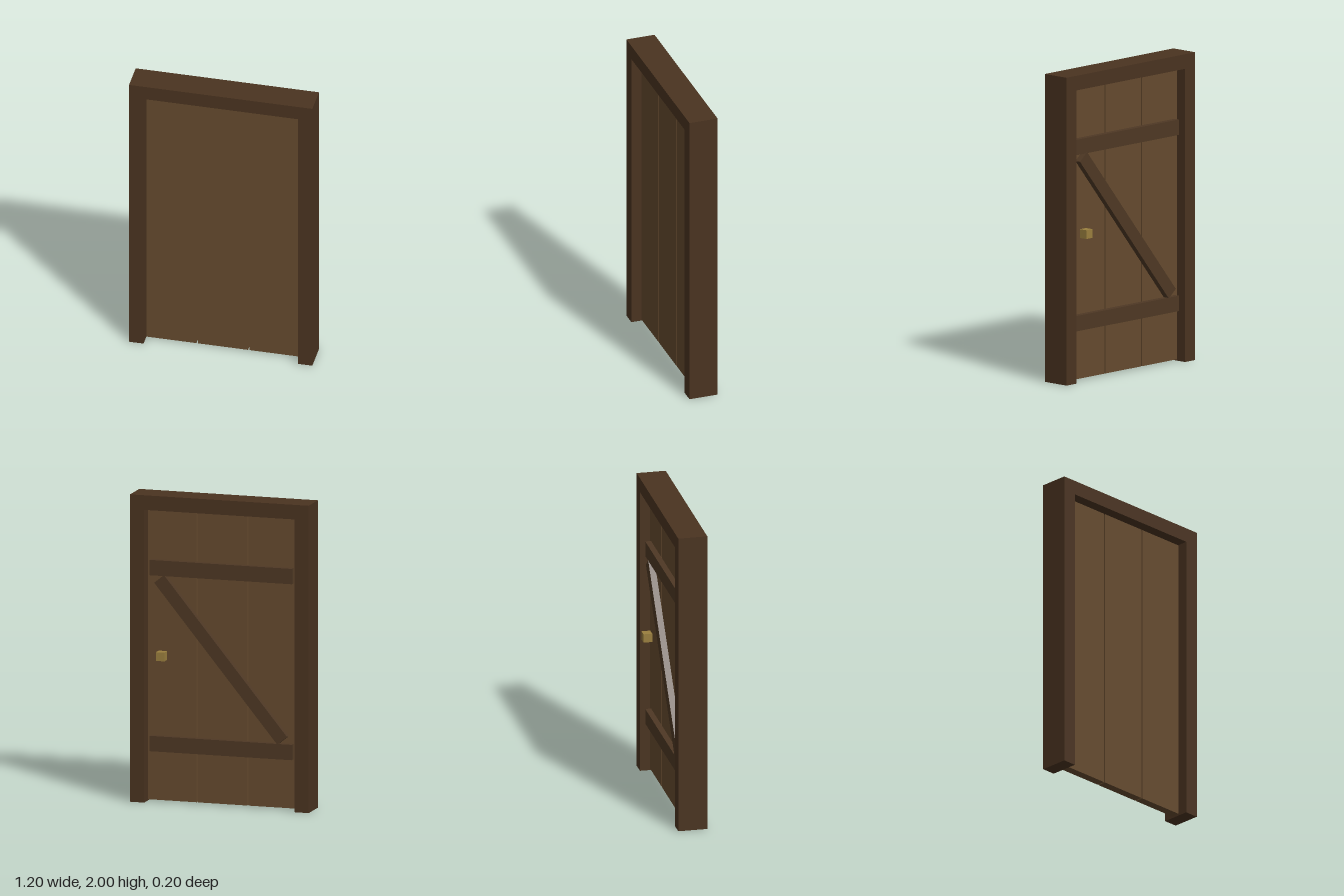
import * as THREE from 'three';

const frameWood = new THREE.MeshStandardMaterial({ color: 0x4a3320 });
const boardWood = new THREE.MeshStandardMaterial({ color: 0x654a2e });
const braceWood = new THREE.MeshStandardMaterial({ color: 0x4e3824 });
const brass = new THREE.MeshStandardMaterial({ color: 0x9a7f3e });

function box(name, material, size, position) {
  const mesh = new THREE.Mesh(new THREE.BoxGeometry(...size), material);
  mesh.name = name;
  mesh.position.set(...position);
  return mesh;
}

export function createModel() {
  const model = new THREE.Group();
  model.name = 'plankDoor';

  // Door frame: one upside-down U, open at the floor
  const outline = [[-0.6, 0], [-0.505, 0], [-0.505, 1.905], [0.505, 1.905],
    [0.505, 0], [0.6, 0], [0.6, 2], [-0.6, 2]];
  const shape = new THREE.Shape(outline.map(([x, y]) => new THREE.Vector2(x, y)));
  const frame = new THREE.Mesh(
    new THREE.ExtrudeGeometry(shape, { depth: 0.19, bevelEnabled: false }), frameWood);
  frame.name = 'frame';
  frame.position.z = -0.091;
  model.add(frame);

  // Door leaf
  const door = new THREE.Group();
  door.name = 'door';
  model.add(door);

  // Three upright boards with narrow gaps
  ['rightBoard', 'middleBoard', 'leftBoard'].forEach((name, i) => {
    door.add(box(name, boardWood, [0.328, 1.89, 0.057], [(i - 1) * 0.338, 0.955, 0.004]));
  });

  // Ledges across the back
  door.add(box('lowerLedge', braceWood, [0.955, 0.1, 0.038], [0, 0.381, -0.0435]));
  door.add(box('upperLedge', braceWood, [0.955, 0.1, 0.038], [0, 1.526, -0.0435]));

  // Diagonal brace, slightly proud of the ledges
  const brace = box('diagonalBrace', braceWood, [1.3, 0.085, 0.041], [0, 0.955, -0.045]);
  brace.rotation.z = Math.atan2(1, 0.825);
  door.add(brace);

  // Square knob on the back
  door.add(box('knob', brass, [0.057, 0.057, 0.057], [0.395, 0.957, -0.0705]));

  return model;
}
